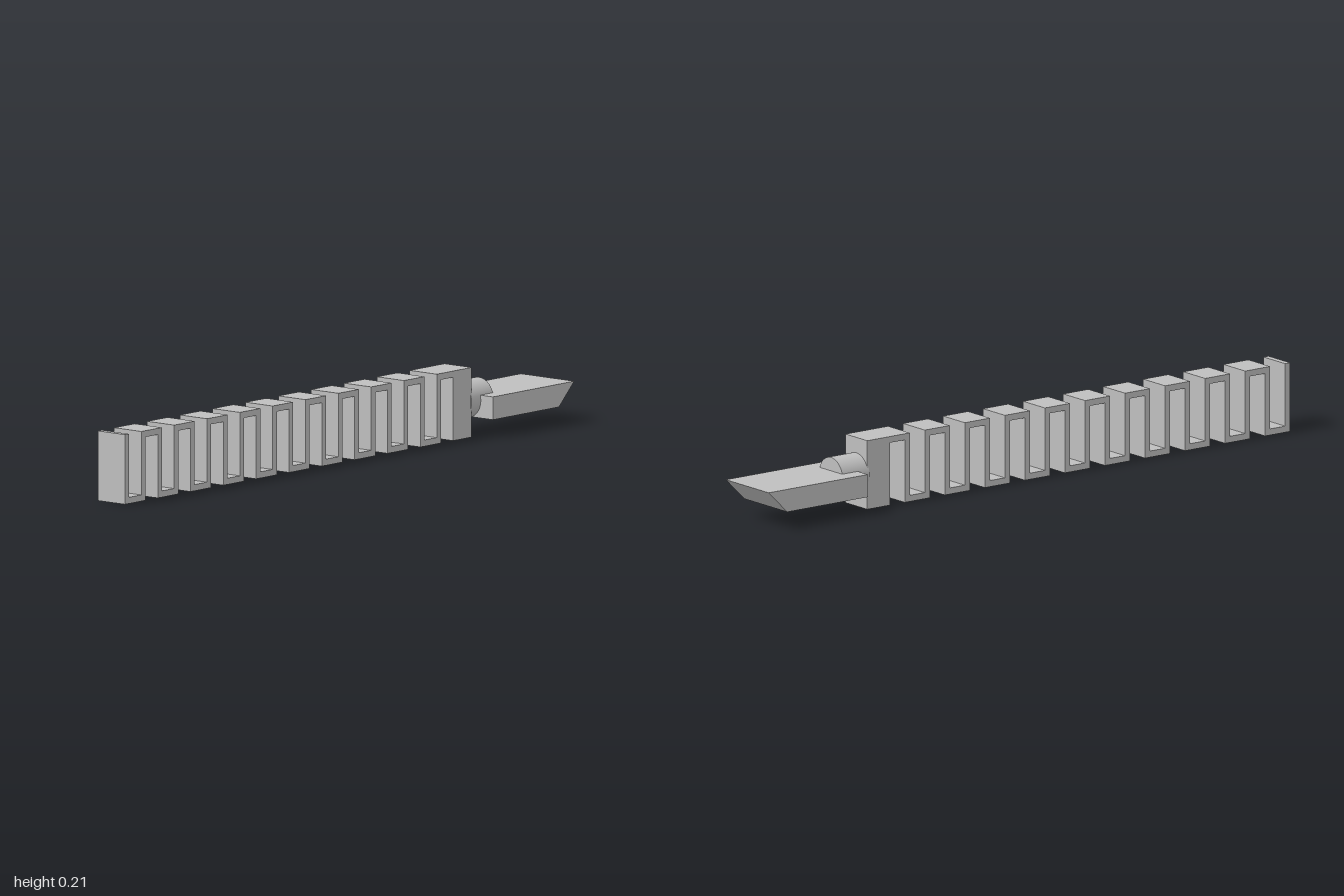
import * as THREE from 'three';

const HEIGHT = 0.21, WALL = 0.019, PITCH = 0.07525, BAYS = 20;

// Extrude an x-y outline along z, centred on z = 0
function extrudeCentred(points, depth) {
  const shape = new THREE.Shape(points.map(([x, y]) => new THREE.Vector2(x, y)));
  const geometry = new THREE.ExtrudeGeometry(shape, { depth, bevelEnabled: false });
  return geometry.translate(0, 0, -depth / 2);
}

// Folded strip: slots open alternately at the top and the bottom, ending in a solid block
function springOutline() {
  const lower = [[-1, 0]], upper = [[-1, HEIGHT]];
  for (let k = 0; k < BAYS; k++) {
    const a = -1 + k * PITCH + WALL, b = -1 + (k + 1) * PITCH;
    if (k % 2) lower.push([a, 0], [a, HEIGHT - WALL], [b, HEIGHT - WALL], [b, 0]);
    else upper.push([a, HEIGHT], [a, WALL], [b, WALL], [b, HEIGHT]);
  }
  lower.push([0.59, 0]);
  upper.push([0.59, HEIGHT]);
  return [...lower, ...upper.reverse()];
}

export function createModel() {
  const model = new THREE.Group();
  const grey = new THREE.MeshStandardMaterial({ color: 0xbfbfbf });
  grey.name = 'plain grey';

  const add = (name, geometry) => {
    const mesh = new THREE.Mesh(geometry, grey);
    mesh.name = name;
    model.add(mesh);
    return mesh;
  };

  // Zigzag spring with its end block
  add('zigzagSpring', extrudeCentred(springOutline(), 0.106));

  // Round peg joining block and blade
  const peg = add('peg', new THREE.CylinderGeometry(0.057, 0.057, 0.1, 48).rotateZ(Math.PI / 2));
  peg.position.set(0.635, 0.106, 0);

  // Flat blade, bevelled underneath at the tip
  add('blade', extrudeCentred([[0.627, 0.053], [0.93, 0.053], [1, 0.122], [0.627, 0.122]], 0.208));

  return model;
}
